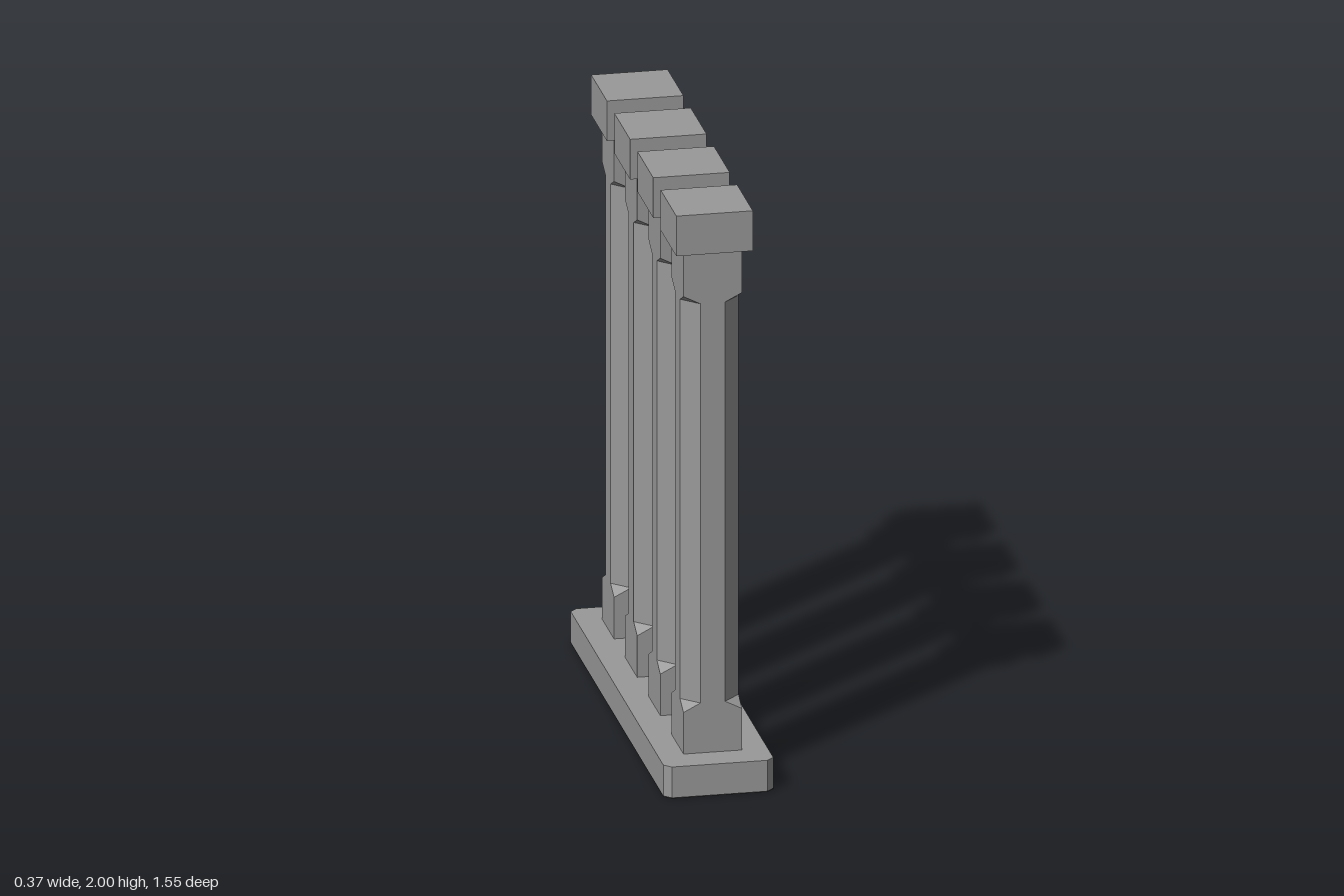
import * as THREE from 'three';

const stone = new THREE.MeshStandardMaterial({ color: 0x999999 });
stone.name = 'grey stone';
const dark = new THREE.MeshStandardMaterial({ color: 0x3a3a3a });
dark.name = 'dark underside';

// Square ring with half width h whose corners are cut back to c (c = h keeps them square)
function ring(h, c, y) {
  const points = [];
  for (let k = 0; k < 4; k++) {
    for (let [x, v] of [[h, c], [c, h]]) {
      for (let r = 0; r < k; r++) [x, v] = [-v, x];
      points.push(new THREE.Vector3(x, y, -v));
    }
  }
  return points;
}

// Flat-faced solid through a stack of rings, closed at both ends
function loft(rings) {
  const positions = [];
  const tri = (a, b, c) => {
    if (new THREE.Triangle(a, b, c).getArea() < 1e-8) return;
    for (const p of [a, b, c]) positions.push(p.x, p.y, p.z);
  };
  for (let j = 0; j < rings.length - 1; j++) {
    const low = rings[j], high = rings[j + 1];
    for (let i = 0; i < 8; i++) {
      const n = (i + 1) % 8;
      tri(low[i], low[n], high[n]);
      tri(low[i], high[n], high[i]);
    }
  }
  const bottom = rings[0], top = rings[rings.length - 1];
  for (let i = 1; i < 7; i++) {
    tri(bottom[0], bottom[i + 1], bottom[i]);
    tri(top[0], top[i], top[i + 1]);
  }
  const geometry = new THREE.BufferGeometry();
  geometry.setAttribute('position', new THREE.Float32BufferAttribute(positions, 3));
  geometry.computeVertexNormals();
  return geometry;
}

// Plinth slab with clipped corners
function slab(y0, y1) {
  const x = 0.184, z = 0.776, c = 0.024;
  const shape = new THREE.Shape([
    [x, c - z], [x, z - c], [x - c, z], [c - x, z],
    [-x, z - c], [-x, c - z], [c - x, -z], [x - c, -z],
  ].map(([a, b]) => new THREE.Vector2(a, b)));
  return new THREE.ExtrudeGeometry(shape, { depth: y1 - y0, bevelEnabled: false })
    .rotateX(-Math.PI / 2).translate(0, y0, 0);
}

function addMesh(parent, name, geometry, material) {
  const mesh = new THREE.Mesh(geometry, material);
  mesh.name = name;
  parent.add(mesh);
  return mesh;
}

export function createModel() {
  const model = new THREE.Group();
  model.name = 'balustrade';

  addMesh(model, 'plinth', slab(0.004, 0.11), stone);
  addMesh(model, 'plinthUnderside', slab(0, 0.004), dark);

  // Post with stopped chamfers on its four edges
  const h = 0.098, c = 0.041;
  const postGeometry = loft([
    ring(h, h, 0.11), ring(h, h, 0.255), ring(h, c, 0.284),
    ring(h, c, 1.677), ring(h, h, 1.706), ring(h, h, 1.86),
  ]);
  const capGeometry = new THREE.BoxGeometry(0.256, 0.14, 0.256).translate(0, 1.93, 0);

  // Row of four identical columns
  for (let i = 0; i < 4; i++) {
    const column = new THREE.Group();
    column.name = `column${i + 1}`;
    column.position.z = (1.5 - i) * 0.376;
    addMesh(column, 'post', postGeometry, stone);
    addMesh(column, 'cap', capGeometry, stone);
    model.add(column);
  }
  return model;
}
